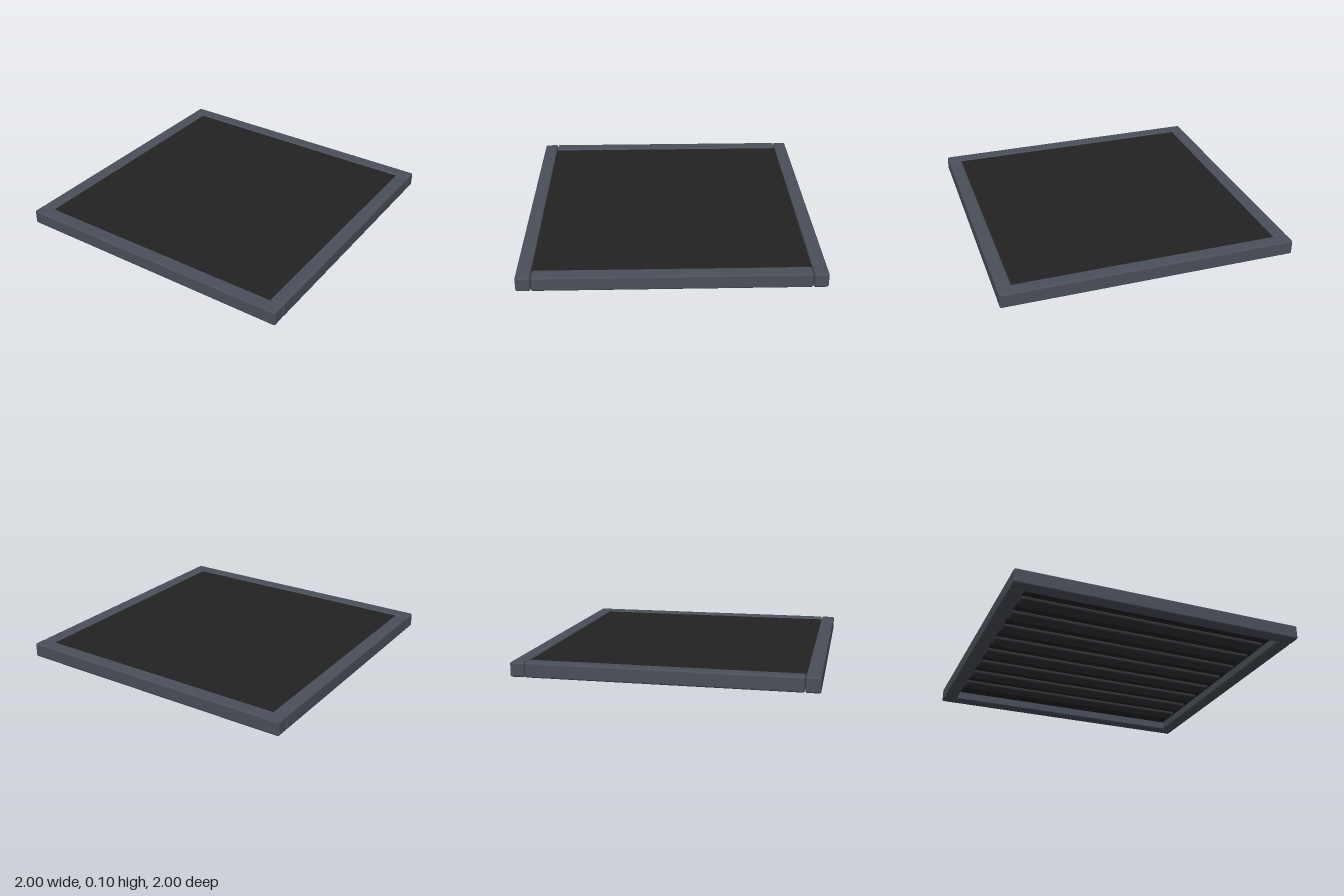
import * as THREE from 'three';
import { RoundedBoxGeometry } from 'three/addons/geometries/RoundedBoxGeometry.js';

export function createModel() {
  const group = new THREE.Group();
  const frameMat = new THREE.MeshStandardMaterial({ color: 0x4a4f59 });
  const panelMat = new THREE.MeshStandardMaterial({ color: 0x222222 });
  const slatMat = new THREE.MeshStandardMaterial({ color: 0x303236 });

  const add = (name, geometry, material, x, y, z) => {
    const mesh = new THREE.Mesh(geometry, material);
    mesh.name = name;
    mesh.position.set(x, y, z);
    group.add(mesh);
  };
  const bar = (w, h, d, r) => new RoundedBoxGeometry(w, h, d, 3, r);

  // Frame: full-width front and back rails with side rails between them
  for (const s of [1, -1]) {
    add(s > 0 ? 'frontRail' : 'backRail', bar(2, 0.1, 0.097, 0.012), frameMat, 0, 0.05, s * 0.951);
    add(s > 0 ? 'leftRail' : 'rightRail', bar(0.097, 0.1, 1.8, 0.012), frameMat, s * 0.951, 0.05, 0);
  }

  // Panel set nearly flush with the top of the frame
  add('panel', new THREE.BoxGeometry(1.81, 0.03, 1.81), panelMat, 0, 0.077, 0);

  // Row of rounded slats under the panel
  const count = 8, pitch = 0.2;
  for (let i = 0; i < count; i++) {
    add('slat' + (i + 1), bar(1.76, 0.03, 0.11, 0.012), slatMat, 0, 0.05, (i - (count - 1) / 2) * pitch);
  }
  return group;
}
